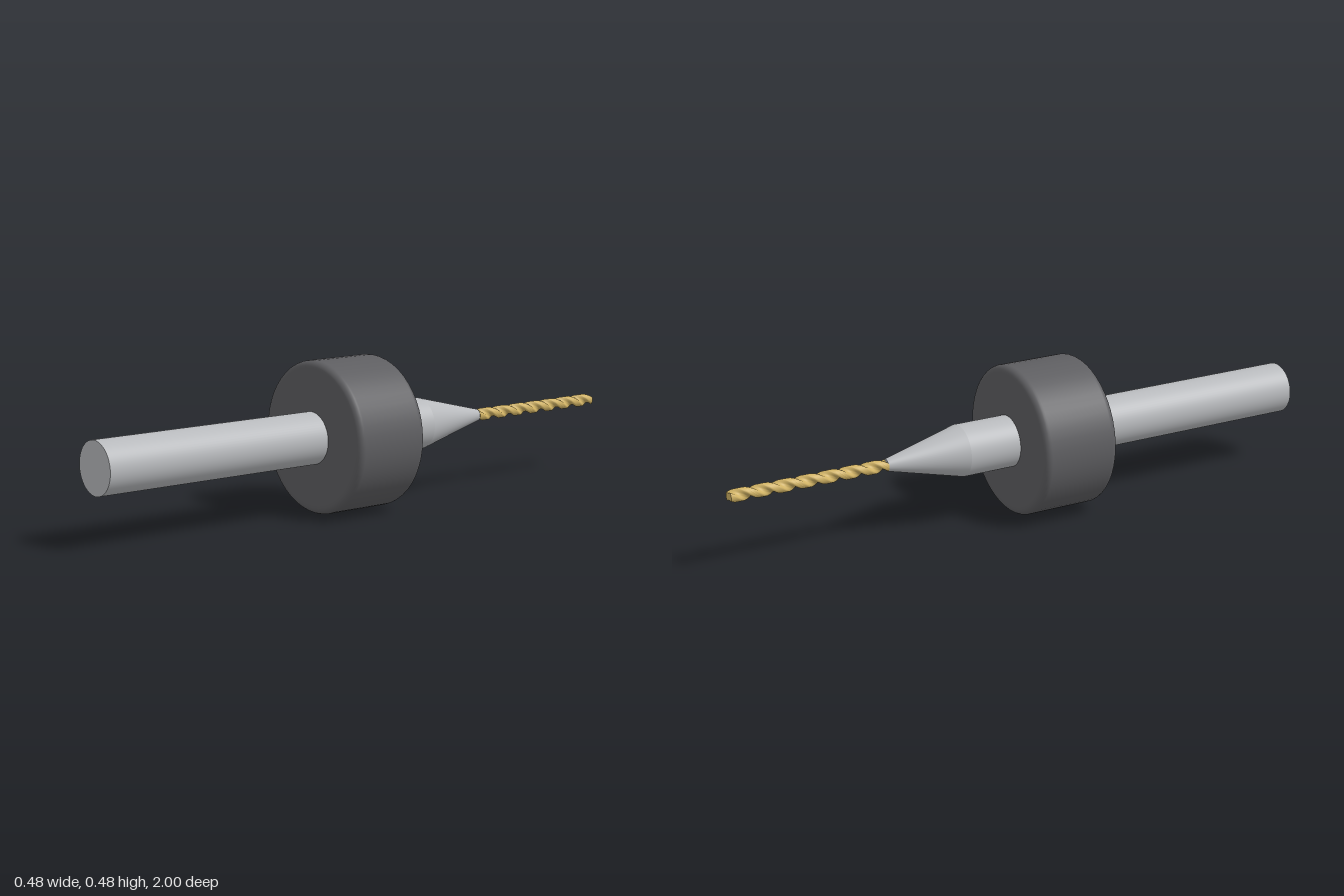
import * as THREE from 'three';

const AXIS_Y = 0.242;

export function createModel() {
  const steel = new THREE.MeshStandardMaterial({ name: 'steel grey', color: 0xb8babd });
  const rubber = new THREE.MeshStandardMaterial({ name: 'dark grey', color: 0x5e5e61 });
  const gold = new THREE.MeshStandardMaterial({ name: 'gold', color: 0xd0b264 });

  const tool = new THREE.Group();
  tool.name = 'drillBit';

  // Turns a y-axis part to lie along z, its top towards the front
  const add = (name, geometry, material, z) => {
    geometry.rotateX(Math.PI / 2);
    const mesh = new THREE.Mesh(geometry, material);
    mesh.name = name;
    mesh.position.set(0, AXIS_Y, z);
    tool.add(mesh);
  };

  // Round shank and the taper down to the cutter
  add('shank', new THREE.CylinderGeometry(0.083, 0.083, 1.225, 64), steel, 0.3875);
  add('taper', new THREE.CylinderGeometry(0.083, 0.019, 0.255, 64), steel, -0.3525);

  // Depth collar with rounded rims
  const R = 0.241, half = 0.13, bevel = 0.022;
  const profile = [new THREE.Vector2(0.075, -half), new THREE.Vector2(R - bevel - 0.008, -half)];
  for (const side of [-1, 1]) {
    for (let i = 0; i <= 6; i++) {
      const a = (side < 0 ? i / 6 - 1 : i / 6) * Math.PI / 2;
      profile.push(new THREE.Vector2(
        R - bevel + bevel * Math.cos(a),
        side * (half - bevel) + bevel * Math.sin(a)));
    }
  }
  profile.push(new THREE.Vector2(R - bevel - 0.008, half), new THREE.Vector2(0.075, half));
  add('collar', new THREE.LatheGeometry(profile, 48), rubber, 0.08);

  // Twisted cutter with two flutes
  const length = 0.522, pitch = 0.146;
  const cutter = new THREE.CylinderGeometry(1, 1, length, 32, 140);
  const p = cutter.attributes.position;
  for (let i = 0; i < p.count; i++) {
    const x = p.getX(i), y = p.getY(i), z = p.getZ(i);
    if (Math.hypot(x, z) < 0.5) continue; // cap centres
    const angle = Math.atan2(x, z);
    const flute = THREE.MathUtils.smoothstep(Math.abs(Math.sin(angle)), 0.6, 1);
    const r = 0.0205 - 0.0095 * flute;
    const turned = angle + (y / pitch) * Math.PI * 2;
    p.setXYZ(i, r * Math.sin(turned), y, r * Math.cos(turned));
  }
  cutter.computeVertexNormals();
  add('flutedCutter', cutter, gold, -1 + length / 2);

  return tool;
}
